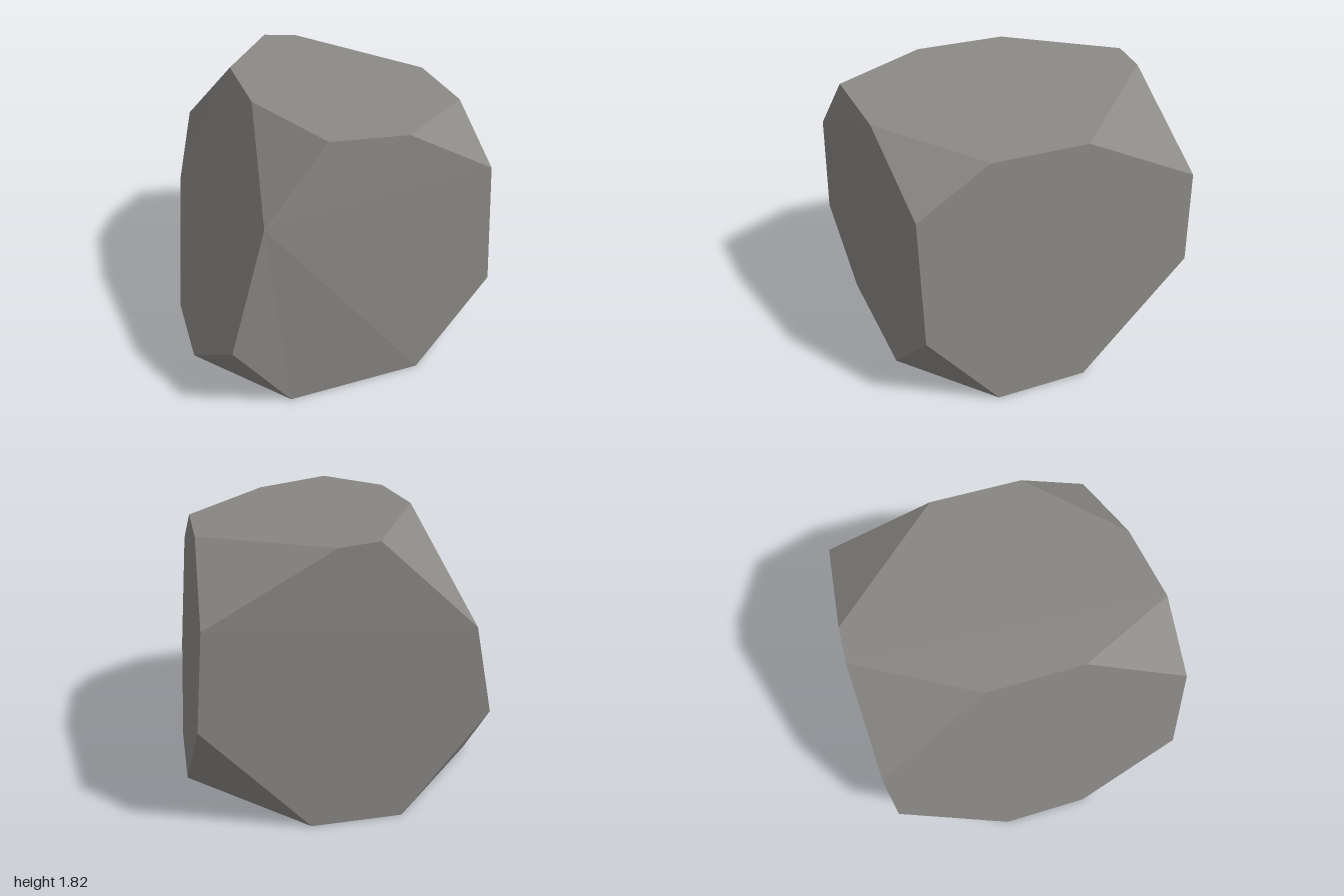
import * as THREE from 'three';

// Eight cut corners; each has a point on its upright, its x-running and its z-running edge
const corners = {
  A: [[-0.83, 0.53, 1], [-0.46, 0, 0.92], [-0.99, 0, 0.32]],
  B: [[0.94, 0.57, 0.775], [0.43, 0, 0.855], [0.99, 0, 0.325]],
  C: [[-0.61, 1.35, 1], [-0.22, 1.79, 0.92], [-0.51, 1.82, 0.325]],
  D: [[0.87, 1.4, 0.775], [0.28, 1.735, 0.855], [0.845, 1.675, 0.325]],
  E: [[0.88, 1.33, -1], [0.12, 1.755, -1], [0.845, 1.675, -0.28]],
  F: [[-0.72, 1.23, -1], [-0.12, 1.78, -1], [-0.52, 1.82, -0.28]],
  G: [[0.93, 0.72, -1], [0.275, 0, -1], [0.99, 0, -0.28]],
  H: [[-0.84, 0.67, -1], [-0.3, 0, -1], [-1, 0, -0.28]],
};

// Eight-sided main faces, each fanned out from its first point
const mainFaces = [
  'C1 A1 A2 B2 B1 D1 D2 C2', // front
  'E1 E2 F2 F1 H1 H2 G2 G1', // back
  'H1 F1 F3 C3 C1 A1 A3 H3', // -x side
  'B1 D1 D3 E3 E1 G1 G3 B3', // +x side
  'C2 D2 D3 E3 E2 F2 F3 C3', // top
  'A2 B2 B3 G3 G2 H2 H3 A3', // bottom
];

function rockGeometry() {
  const point = (key) => new THREE.Vector3(...corners[key[0]][key[1] - 1]);
  const cutFaces = Object.keys(corners).map((c) => `${c}1 ${c}2 ${c}3`);
  const centre = new THREE.Vector3(0, 0.9, 0);
  const triangle = new THREE.Triangle();
  const normal = new THREE.Vector3();
  const positions = [];

  for (const face of [...mainFaces, ...cutFaces]) {
    const p = face.split(' ').map(point);
    for (let i = 1; i < p.length - 1; i++) {
      // Wind every triangle outwards
      triangle.set(p[0], p[i], p[i + 1]).getNormal(normal);
      const outward = normal.dot(p[0].clone().sub(centre)) > 0;
      const order = outward ? [p[0], p[i], p[i + 1]] : [p[0], p[i + 1], p[i]];
      order.forEach((v) => positions.push(v.x, v.y, v.z));
    }
  }
  const geometry = new THREE.BufferGeometry();
  geometry.setAttribute('position', new THREE.Float32BufferAttribute(positions, 3));
  geometry.computeVertexNormals();
  return geometry;
}

export function createModel() {
  const stone = new THREE.MeshStandardMaterial({ color: 0x8a8885 });
  stone.name = 'stone grey';
  stone.flatShading = true;

  const rock = new THREE.Mesh(rockGeometry(), stone);
  rock.name = 'rock';

  const group = new THREE.Group();
  group.name = 'boulder';
  group.add(rock);
  return group;
}
